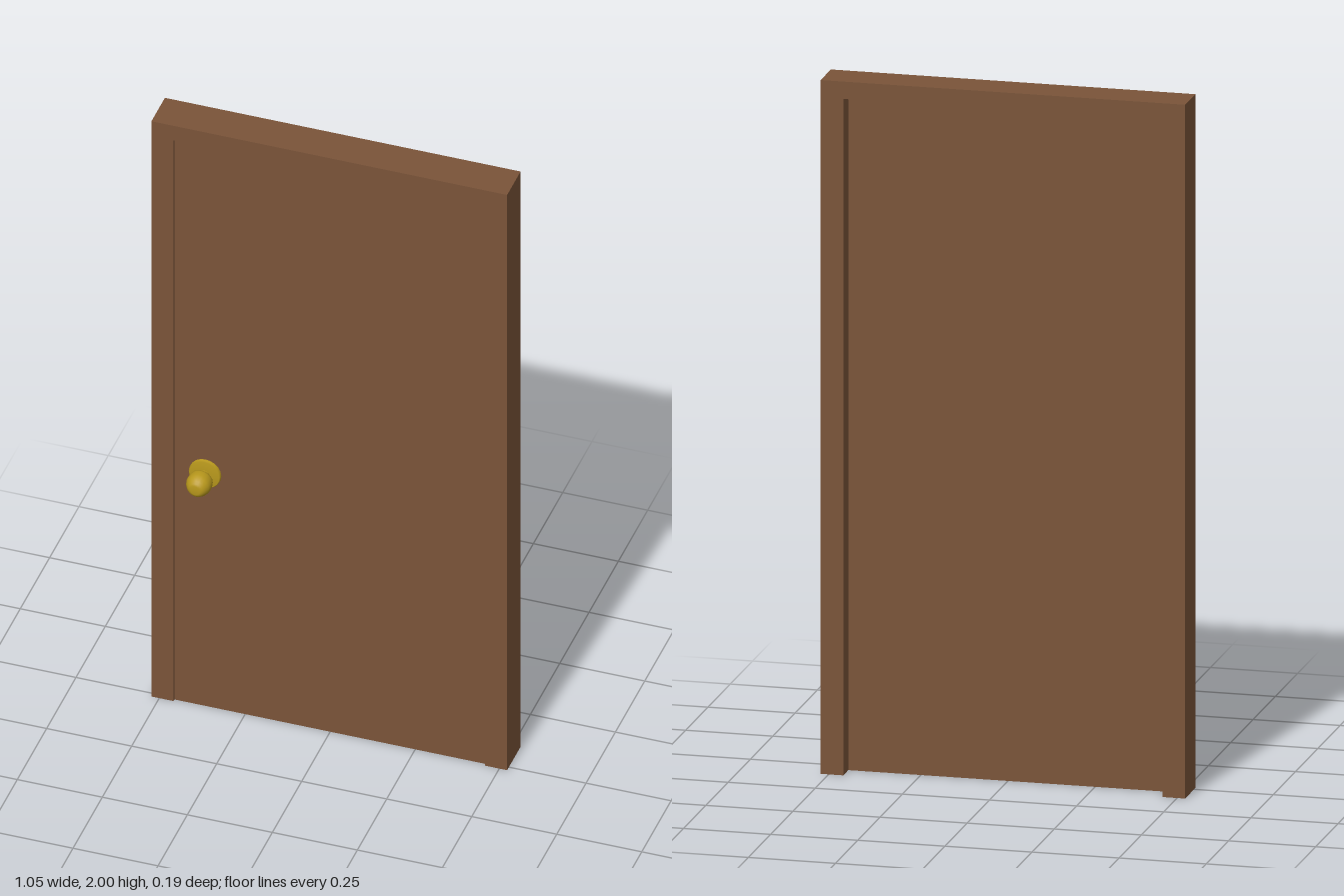
import * as THREE from 'three';

export function createModel() {
  const group = new THREE.Group();
  const wood = new THREE.MeshStandardMaterial({ color: 0x7a5439 });
  const brass = new THREE.MeshStandardMaterial({ color: 0xb8981c });

  const add = (name, geometry, material, x, y, z) => {
    const mesh = new THREE.Mesh(geometry, material);
    mesh.name = name;
    mesh.position.set(x, y, z);
    group.add(mesh);
    return mesh;
  };

  // Door frame: two posts and a lintel in one U-shaped outline
  const W = 0.523, w = 0.458, H = 2, h = 1.95;
  const outline = new THREE.Shape(
    [[-W, 0], [-w, 0], [-w, h], [w, h], [w, 0], [W, 0], [W, H], [-W, H]].map(
      ([x, y]) => new THREE.Vector2(x, y)
    )
  );
  const frameGeometry = new THREE.ExtrudeGeometry(outline, { depth: 0.115, bevelEnabled: false });
  add('doorFrame', frameGeometry, wood, 0, 0, -0.1);

  // Door panel, nearly flush at the front and set back behind
  add('doorPanel', new THREE.BoxGeometry(2 * w, h, 0.05), wood, 0, h / 2, -0.018);

  // Turned knob parts: [radius, z] profiles spun about the z axis
  const turned = (name, profile) => {
    const points = profile.map(([r, z]) => new THREE.Vector2(r, z));
    const geometry = new THREE.LatheGeometry(points, 20).rotateX(Math.PI / 2);
    add(name, geometry, brass, -0.367, 0.81, 0);
  };
  turned('knobRosette', [[0.047, 0.006], [0.047, 0.013], [0.044, 0.017], [0.016, 0.018], [0, 0.018]]);
  turned('knobStem', [[0.0165, 0.01], [0.0165, 0.042]]);
  turned('knob', [
    [0, 0.037], [0.029, 0.037], [0.029, 0.037], [0.034, 0.042], [0.036, 0.05], [0.036, 0.066],
    [0.033, 0.076], [0.027, 0.086], [0.021, 0.092], [0.014, 0.095], [0, 0.095],
  ]);

  return group;
}
